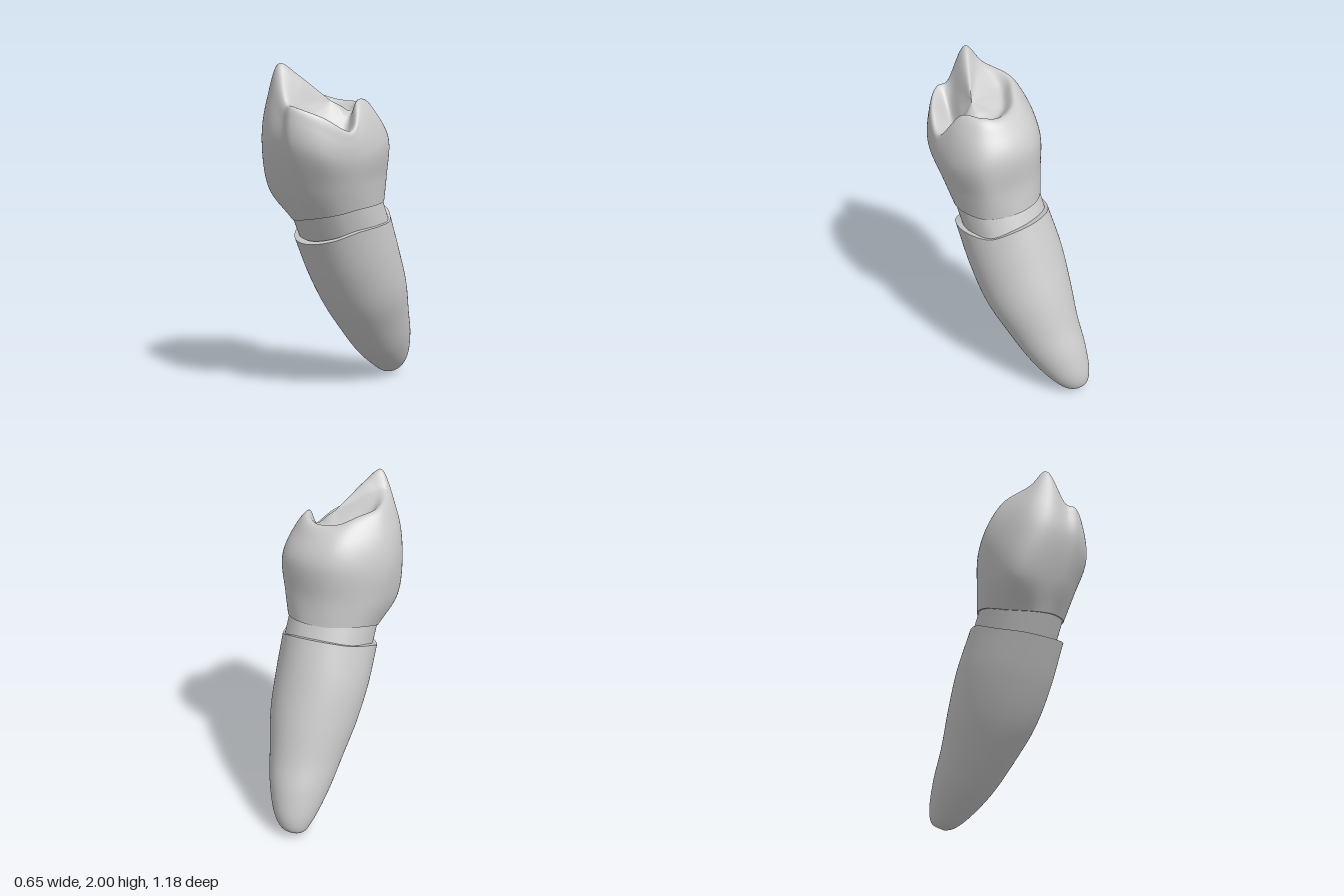
import * as THREE from 'three';

const enamel = new THREE.MeshStandardMaterial({ color: 0xcacaca });
enamel.name = 'pale grey';

const COLUMNS = 96;
const V = (x, y, z) => new THREE.Vector3(x, y, z);

// Samples a closed curve through a few [x, y, z] points, front first, then towards +x
function ring(points) {
  const curve = new THREE.CatmullRomCurve3(points.map(p => V(...p)), true);
  return Array.from({ length: COLUMNS }, (_, i) => curve.getPoint(i / COLUMNS));
}

// Tilted oval through a front point, a back point and the two side limits
function oval([zf, yf, zb, yb, x0, x1]) {
  return Array.from({ length: COLUMNS }, (_, i) => {
    const a = (i / COLUMNS) * Math.PI * 2;
    const k = (1 + Math.cos(a)) / 2;
    return V((x0 + x1) / 2 + Math.sin(a) * (x1 - x0) / 2, yb + (yf - yb) * k, zb + (zf - zb) * k);
  });
}

const point = (x, y, z) => Array.from({ length: COLUMNS }, () => V(x, y, z));
const shrink = (points, centre, amount) => points.map(p => p.clone().lerp(centre, amount));
const shift = (points, y, z) => points.map(p => V(p.x, p.y + y, p.z + z));

// Smooth skin over rings listed from bottom to top
function loft(name, rings, rows) {
  const positions = [], index = [];
  const lines = rings[0].map((_, i) => new THREE.CatmullRomCurve3(rings.map(r => r[i])));
  for (let j = 0; j <= rows; j++) {
    for (const line of lines) positions.push(...line.getPoint(j / rows).toArray());
  }
  for (let j = 0; j < rows; j++) {
    for (let i = 0; i < COLUMNS; i++) {
      const n = (i + 1) % COLUMNS;
      const a = j * COLUMNS + i, b = j * COLUMNS + n;
      index.push(a, b, b + COLUMNS, a, b + COLUMNS, a + COLUMNS);
    }
  }
  const geometry = new THREE.BufferGeometry();
  geometry.setAttribute('position', new THREE.Float32BufferAttribute(positions, 3));
  geometry.setIndex(index);
  geometry.computeVertexNormals();
  const mesh = new THREE.Mesh(geometry, enamel);
  mesh.name = name;
  return mesh;
}

export function createModel() {
  const model = new THREE.Group();
  model.name = 'tooth';

  // Crown walls: neck line, lower wall, widest bulge, shoulder
  const neckLine = ring([
    [-.1, 1.1, .362], [0, 1.115, .378], [.06, 1.125, .372], [.182, 1.15, .315],
    [.258, 1.18, .21], [.275, 1.19, .1], [.24, 1.2, -.04], [.1, 1.22, -.137],
    [-.07, 1.22, -.127], [-.2, 1.21, -.03], [-.245, 1.175, .1], [-.21, 1.11, .27],
  ]);
  const lowerWall = ring([
    [-.165, 1.28, .462], [-.02, 1.3, .483], [.06, 1.3, .483], [.2, 1.32, .405],
    [.28, 1.33, .27], [.295, 1.33, .12], [.25, 1.35, -.05], [.1, 1.37, -.12],
    [-.07, 1.37, -.115], [-.22, 1.36, -.01], [-.3, 1.34, .16], [-.277, 1.28, .385],
  ]);
  const bulge = ring([
    [-.165, 1.56, .54], [0, 1.55, .57], [.08, 1.55, .58], [.22, 1.5, .49],
    [.3, 1.47, .32], [.325, 1.52, .13], [.27, 1.57, -.04], [.11, 1.59, -.117],
    [-.08, 1.59, -.105], [-.22, 1.58, 0], [-.325, 1.55, .2], [-.275, 1.55, .435],
  ]);
  const shoulder = ring([
    [-.12, 1.8, .54], [0, 1.68, .568], [.075, 1.7, .582], [.215, 1.63, .485],
    [.298, 1.57, .32], [.275, 1.71, .16], [.23, 1.71, .02], [.1, 1.7, -.06],
    [-.075, 1.71, -.045], [-.19, 1.73, .06], [-.285, 1.73, .22], [-.23, 1.76, .45],
  ]);
  // Cusps and notches along the biting edge
  const crest = ring([
    [-.09, 2, .49], [.015, 1.78, .545], [.07, 1.77, .56], [.2, 1.71, .46],
    [.28, 1.63, .31], [.215, 1.79, .18], [.17, 1.795, .07], [.08, 1.78, .02],
    [-.05, 1.79, .05], [-.13, 1.825, .13], [-.205, 1.855, .25], [-.16, 1.9, .43],
  ]);
  // Groove and basin inside the biting edge, with a ridge falling from the main cusp
  const basin = ring([
    [-.03, 1.94, .41], [.035, 1.76, .46], [.08, 1.67, .44], [.14, 1.62, .36],
    [.2, 1.61, .28], [.18, 1.7, .21], [.14, 1.73, .15], [.07, 1.73, .1],
    [-.03, 1.74, .125], [-.09, 1.77, .18], [-.14, 1.81, .26], [-.1, 1.89, .39],
  ]);
  const middle = V(.08, 1.79, .25);
  const ridge = shrink(basin, middle, .5);
  model.add(loft('crown', [neckLine, lowerWall, bulge, shoulder, crest, basin, ridge, point(...middle)], 70));

  // Underside of the crown
  const neckCentre = V(.015, 1.17, .12);
  model.add(loft('crownUnderside', [shrink(neckLine, neckCentre, .15), neckLine], 1));

  // Recessed band between crown and root, following the neck line down and back
  const bandTop = shrink(neckLine, neckCentre, .03);
  model.add(loft('neckBand', [shift(bandTop, -.2, -.1), shift(bandTop, .02, .01)], 8));

  // Root, leaning back to its rounded tip
  const rim = ring([
    [.01, .97, .358], [.16, 1, .32], [.26, 1.05, .21], [.293, 1.07, .07],
    [.255, 1.085, -.08], [.15, 1.14, -.18], [.03, 1.16, -.21], [-.11, 1.15, -.175],
    [-.215, 1.11, -.075], [-.27, 1.07, .06], [-.24, 1.01, .2], [-.13, .975, .32],
  ]);
  model.add(loft('root', [
    point(-.06, 0, -.5),
    oval([-.45, .008, -.575, .05, -.13, .005]),
    oval([-.36, .06, -.592, .13, -.165, .07]),
    oval([-.2, .18, -.555, .3, -.2, .15]),
    oval([-.02, .37, -.48, .48, -.225, .215]),
    oval([.11, .53, -.4, .7, -.255, .268]),
    oval([.24, .74, -.31, .92, -.273, .288]),
    rim,
  ], 56));

  // Narrow lip on top of the root
  model.add(loft('rootLip', [rim, shrink(rim, V(.01, 1.07, .08), .14)], 1));

  return model;
}
